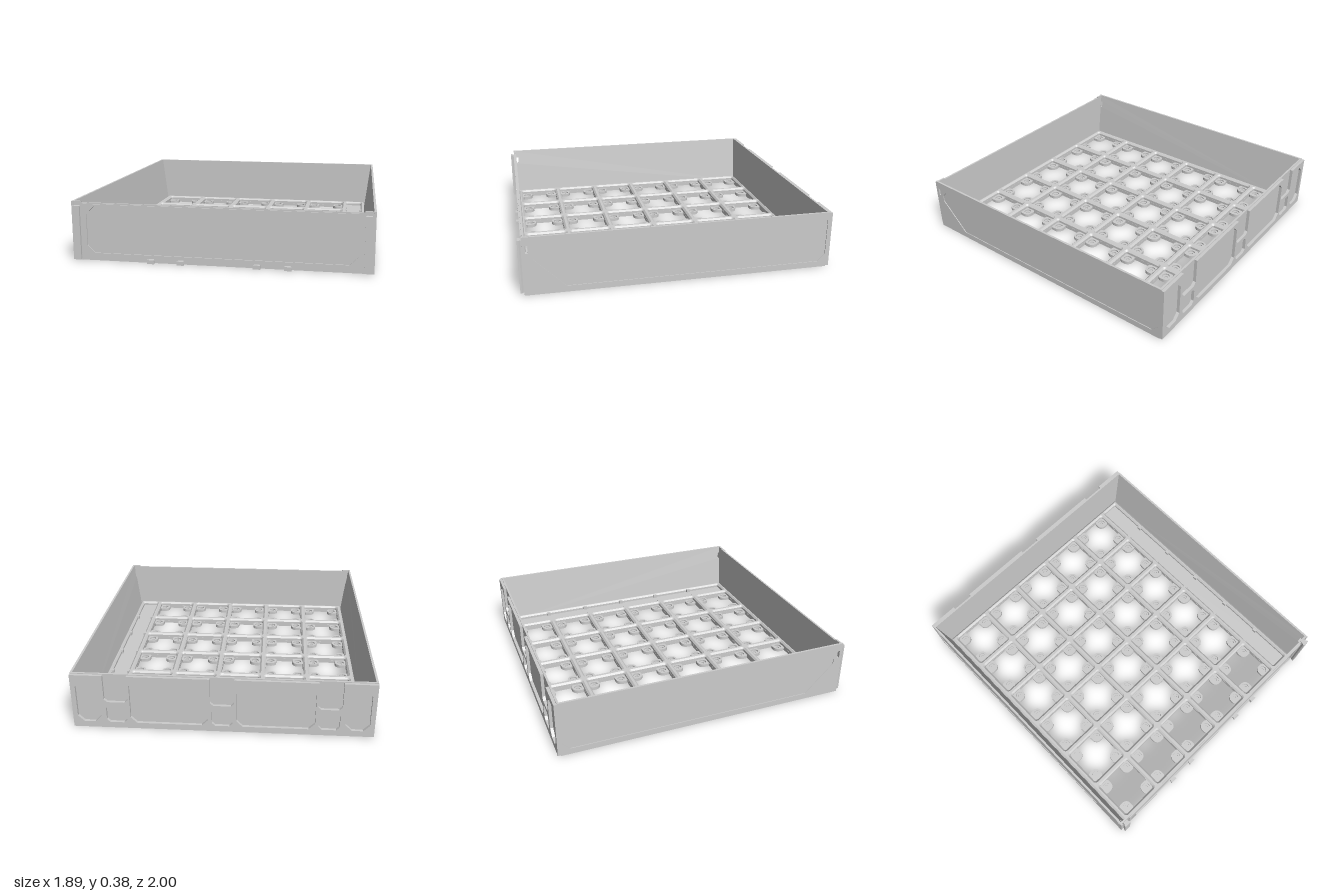
import * as THREE from 'three';

const mat = new THREE.MeshStandardMaterial({ color: 0xcccccc, flatShading: true, side: THREE.DoubleSide });
const PITCH = 0.3175, COLS = 5, ROWS = 6, X0 = -0.709, Z0 = -0.8;

// Polygon from [x, y] points
const poly = (pts, Type = THREE.Shape) => new Type(pts.map(([x, y]) => new THREE.Vector2(x, y)));
const rect = (x0, x1, y0, y1, Type) => poly([[x0, y0], [x1, y0], [x1, y1], [x0, y1]], Type);

// Rectangle with cut corners
const cutRect = (x0, x1, y0, y1, c, Type) => poly([
  [x0 + c, y0], [x1 - c, y0], [x1, y0 + c], [x1, y1 - c],
  [x1 - c, y1], [x0 + c, y1], [x0, y1 - c], [x0, y0 + c]], Type);

function roundRect(x0, x1, y0, y1, r) {
  const p = new THREE.Path();
  p.absarc(x1 - r, y1 - r, r, 0, Math.PI / 2);
  p.absarc(x0 + r, y1 - r, r, Math.PI / 2, Math.PI);
  p.absarc(x0 + r, y0 + r, r, Math.PI, Math.PI * 1.5);
  p.absarc(x1 - r, y0 + r, r, Math.PI * 1.5, Math.PI * 2);
  p.closePath();
  return p;
}

// Cross-shaped opening that leaves a rounded pad in each corner of a cell
function crossHole(cx, cy) {
  const h = 0.137, r = 0.04, p = new THREE.Path();
  for (let k = 0; k < 4; k++) {
    const a = k * Math.PI / 2, c = Math.cos(a), s = Math.sin(a);
    const at = (x, y) => [cx + x * c - y * s, cy + x * s + y * c];
    const [sx, sy] = at(h, 0.068);
    if (k === 0) p.moveTo(...at(h, -0.068));
    p.lineTo(sx, sy);
    p.lineTo(...at(h - 0.012, 0.06));
    p.lineTo(...at(0.1, 0.06));
    const [px, py] = at(0.1, 0.1);
    p.absarc(px, py, r, a - Math.PI / 2, a - Math.PI, true);
    p.lineTo(...at(0.06, h - 0.012));
    p.lineTo(...at(0.068, h));
  }
  p.closePath();
  return p;
}

function circle(cx, cy, r) {
  const p = new THREE.Path();
  p.absarc(cx, cy, r, 0, Math.PI * 2);
  return p;
}

const extrude = (shape, depth, opts = {}) =>
  new THREE.ExtrudeGeometry(shape, { depth, bevelEnabled: false, curveSegments: 6, ...opts });

export function createModel() {
  const model = new THREE.Group();
  const add = (name, geometry, x = 0, y = 0, z = 0) => {
    const m = new THREE.Mesh(geometry, mat);
    m.name = name;
    m.position.set(x, y, z);
    model.add(m);
    return m;
  };
  const box = (name, x0, x1, y0, y1, z0, z1) =>
    add(name, new THREE.BoxGeometry(x1 - x0, y1 - y0, z1 - z0), (x0 + x1) / 2, (y0 + y1) / 2, (z0 + z1) / 2);

  const cells = [];
  for (let i = 0; i < COLS; i++)
    for (let j = 0; j < ROWS; j++) cells.push([X0 + i * PITCH, -(Z0 + j * PITCH)]);

  // Floor in layers: solid base, pilot holes, then wider magnet pockets
  const layers = [['floorBase', 0, 0.005, 0], ['floorPilotLayer', 0.005, 0.012, 0.012], ['floorPocketLayer', 0.012, 0.022, 0.026]];
  for (const [name, y0, y1, r] of layers) {
    const s = rect(-0.886, 0.886, -0.957, 0.967);
    for (const [x, y] of cells) {
      s.holes.push(crossHole(x, y));
      if (r) for (const a of [-0.1, 0.1]) for (const b of [-0.1, 0.1]) s.holes.push(circle(x + a, y + b, r));
    }
    add(name, extrude(s, y1 - y0).rotateX(-Math.PI / 2), 0, y0);
  }

  // Raised grid with bevelled ribs, plus the long side channel
  const grid = rect(-0.873, 0.873, -0.945, 0.955);
  for (const [x, y] of cells) grid.holes.push(roundRect(x - 0.15, x + 0.15, y - 0.15, y + 0.15, 0.025));
  grid.holes.push(roundRect(0.724, 0.867, -0.935, 0.95, 0.02));
  add('cellGrid', extrude(grid, 0.018, { bevelEnabled: true, bevelThickness: 0.012, bevelSize: 0.012, bevelSegments: 1 })
    .rotateX(-Math.PI / 2), 0, 0.02);
  for (let j = 1; j < ROWS; j++) {
    const z = Z0 + (j - 0.5) * PITCH;
    box('channelNub', 0.722, 0.745, 0.015, 0.046, z - 0.015, z + 0.015);
    box('channelNub', 0.843, 0.868, 0.015, 0.046, z - 0.015, z + 0.015);
  }

  // Side walls: sloped on the inside, with a recessed panel outside and a peg hole
  const pegHole = () => rect(0.94, 0.956, 0.275, 0.325, THREE.Path);
  const panel = () => poly([[0.915, 0.275], [0.915, 0.235], [0.72, 0.04], [-0.92, 0.04],
    [-0.97, 0.09], [-0.97, 0.335], [0.86, 0.335]], THREE.Path);
  for (const s of [1, -1]) {
    const side = s > 0 ? 'right' : 'left';
    const place = (g, outer, d) => g.rotateY(-Math.PI / 2).translate(s > 0 ? outer : d - outer, 0, 0);
    const skin = rect(-0.98, 0.975, 0, 0.38);
    skin.holes.push(pegHole(), panel());
    add(side + 'WallFrame', place(extrude(skin, 0.005), 0.945, 0.005));

    const core = rect(-0.98, 0.975, 0, 0.38);
    core.holes.push(pegHole());
    const g = place(extrude(core, 0.055), 0.94, 0.055);
    const p = g.attributes.position;
    for (let i = 0; i < p.count; i++) {
      if (Math.abs(p.getX(i)) < 0.9) {
        const t = Math.max(0, (p.getY(i) - 0.05) / 0.33);
        p.setX(i, s * (0.885 + 0.046 * t));
      }
    }
    g.computeVertexNormals();
    add(side + 'Wall', g);
  }

  // Front wall, lower between its end posts, with a framed recessed panel
  add('frontWall', extrude(poly([[-0.94, 0], [0.94, 0], [0.94, 0.38], [0.88, 0.38],
    [0.88, 0.372], [-0.88, 0.372], [-0.88, 0.38], [-0.94, 0.38]]), 0.013), 0, 0, 0.957);
  const frame = rect(-0.87, 0.87, 0.03, 0.365);
  frame.holes.push(cutRect(-0.848, 0.848, 0.05, 0.35, 0.05, THREE.Path));
  add('frontPanelFrame', extrude(frame, 0.008), 0, 0, 0.97);

  // Dovetail rails and small locking tabs on the front
  const dovetail = (w, h) => extrude(poly([[-w * 0.35, 0], [w * 0.35, 0], [w * 0.35, -0.012],
    [w * 0.5, -0.022], [w * 0.5, -0.032], [-w * 0.5, -0.032], [-w * 0.5, -0.022], [-w * 0.35, -0.012]]), h).rotateX(-Math.PI / 2);
  for (const s of [-1, 1]) {
    add('frontRail', dovetail(0.046, 0.345), s * 0.907, 0.01, 0.968);
    for (const x of [0.24, 0.43]) add('frontTab', dovetail(0.045, 0.025), s * x, 0, 0.965);
  }

  // Back wall: inner sheet and a ribbed outer plate with pockets
  box('backWall', -0.94, 0.94, 0, 0.38, -0.98, -0.967);
  const top = 0.375, outline = [[-0.945, 0.005], [0.945, 0.005], [0.945, top]];
  const notches = [0.665, 0, -0.665];
  for (const x of notches)
    outline.push([x + 0.075, top], [x + 0.075, 0.21], [x + 0.055, 0.19], [x - 0.055, 0.19], [x - 0.075, 0.21], [x - 0.075, top]);
  outline.push([-0.945, top]);
  const plate = poly(outline);
  for (const x of notches) plate.holes.push(cutRect(x - 0.065, x + 0.065, 0.045, 0.165, 0.02, THREE.Path));
  for (const s of [-1, 1]) {
    plate.holes.push(cutRect(s * 0.333 - 0.245, s * 0.333 + 0.245, 0.045, 0.35, 0.04, THREE.Path));
    plate.holes.push(cutRect(s * 0.84 - 0.075, s * 0.84 + 0.075, 0.045, 0.335, 0.04, THREE.Path));
  }
  add('backRibPlate', extrude(plate, 0.02), 0, 0, -1);

  return model;
}
